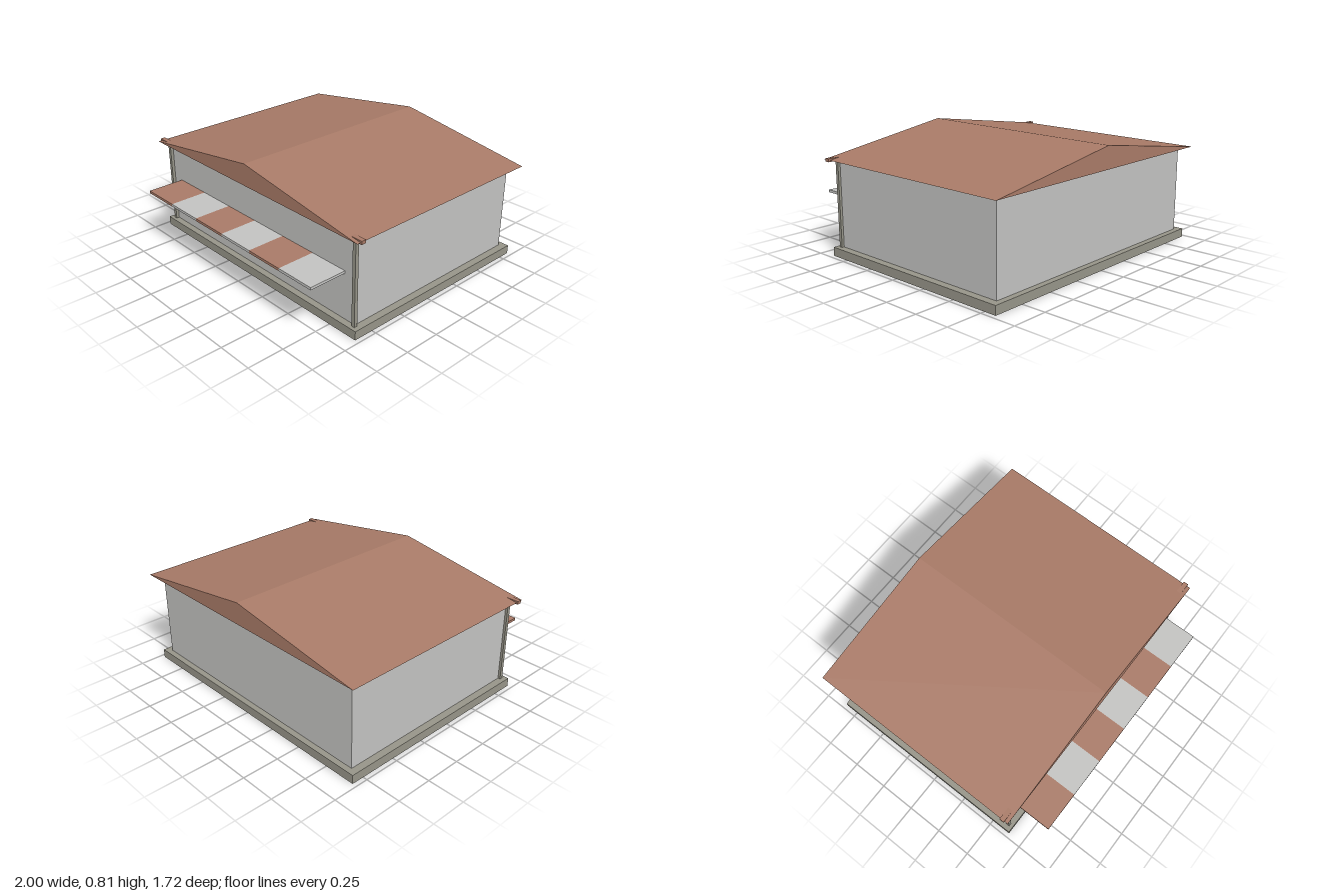
import * as THREE from 'three';

export function createModel() {
  const model = new THREE.Group();
  model.name = 'stall';

  const paint = (name, color) => {
    const m = new THREE.MeshStandardMaterial({ color });
    m.name = name;
    return m;
  };
  const plaster = paint('pale grey plaster', 0xc2c2c0);
  const terracotta = paint('terracotta', 0xa87a67);
  const stone = paint('warm grey stone', 0x969488);

  // Box given by its lower and upper limits on each axis
  const box = (name, material, [x0, x1], [y0, y1], [z0, z1]) => {
    const mesh = new THREE.Mesh(new THREE.BoxGeometry(x1 - x0, y1 - y0, z1 - z0), material);
    mesh.position.set((x0 + x1) / 2, (y0 + y1) / 2, (z0 + z1) / 2);
    mesh.name = name;
    model.add(mesh);
  };

  // Plinth and walls
  box('plinth', stone, [-0.97, 0.97], [0, 0.06], [-0.835, 0.64]);
  box('walls', plaster, [-0.92, 0.92], [0.06, 0.656], [-0.795, 0.595]);

  // Slim posts at the front corners
  for (const side of [-1, 1]) {
    const x = side * 0.925;
    box(side > 0 ? 'leftPost' : 'rightPost', stone, [x - 0.012, x + 0.012], [0.06, 0.656], [0.592, 0.616]);
  }

  // Beam under the front eave, its ends just past the roof
  box('eaveBeam', terracotta, [-1, 1], [0.645, 0.667], [0.602, 0.635]);

  // Closed gable roof with its ridge running front to back
  const gable = new THREE.Shape();
  gable.moveTo(-0.992, 0.655);
  gable.lineTo(0.992, 0.655);
  gable.lineTo(0, 0.806);
  gable.closePath();
  const roof = new THREE.Mesh(
    new THREE.ExtrudeGeometry(gable, { depth: 1.52, bevelEnabled: false }), terracotta);
  roof.position.z = -0.86;
  roof.name = 'roof';
  model.add(roof);

  // Striped flat awning
  const stripes = 6, width = 1.664 / stripes;
  for (let i = 0; i < stripes; i++) {
    const x = -0.832 + i * width;
    box('awningStripe' + (i + 1), i % 2 ? plaster : terracotta,
      [x, x + width], [0.372, 0.39], [0.595, 0.858]);
  }

  return model;
}
